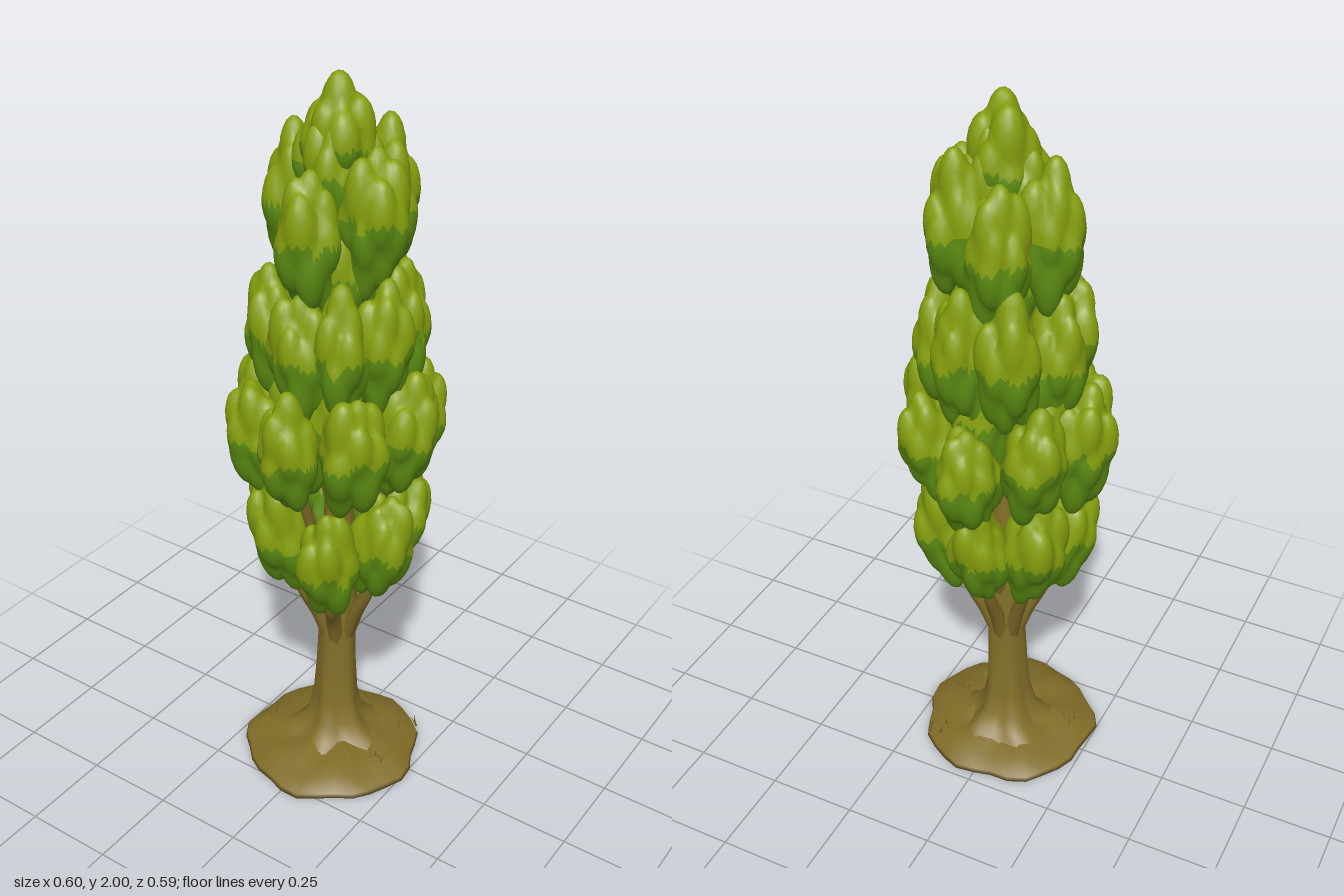
import * as THREE from 'three';
import { mergeVertices } from 'three/addons/utils/BufferGeometryUtils.js';

const material = (name, color) => {
  const m = new THREE.MeshStandardMaterial({ color });
  m.name = name;
  return m;
};

function seeded(seed) {
  let s = seed;
  return () => {
    s = (s * 16807) % 2147483647;
    return s / 2147483647;
  };
}

// Move every vertex of a geometry by a rule, then smooth it
function reshape(geometry, rule) {
  const p = geometry.attributes.position, v = new THREE.Vector3();
  for (let i = 0; i < p.count; i++) {
    v.fromBufferAttribute(p, i);
    rule(v);
    p.setXYZ(i, v.x, v.y, v.z);
  }
  geometry.deleteAttribute('uv');
  geometry.deleteAttribute('normal');
  const merged = mergeVertices(geometry, 1e-5);
  merged.computeVertexNormals();
  return merged;
}

// Upright leaf clump made of round lobes: group 0 is the sunny crown, group 1 the lower leaves
function clumpGeometry(halfWidth, halfHeight, rand) {
  const turn = rand() * 6;
  const lobes = [new THREE.Vector3(0.15, 1, 0.1).normalize()];
  for (let i = 0; i < 15; i++) {
    const y = 0.75 - (i / 14) * 1.6, r = Math.sqrt(1 - y * y), t = turn + i * 2.4 + rand() * 0.5;
    lobes.push(new THREE.Vector3(r * Math.sin(t), y, r * Math.cos(t)));
  }
  const sizes = lobes.map(() => 0.9 + rand() * 0.22);
  const g = reshape(new THREE.IcosahedronGeometry(1, 7), (v) => {
    let lump = 0.72;
    lobes.forEach((lobe, i) => {
      const d = v.distanceToSquared(lobe);
      lump = Math.max(lump, sizes[i] * (1.06 - 0.75 * d));
    });
    const width = (v.y > 0 ? 1 - 0.08 * v.y : 1 + 0.18 * v.y) * lump * halfWidth;
    v.set(v.x * width, v.y * halfHeight * lump, v.z * width);
  });
  const p = g.attributes.position, nrm = g.attributes.normal, light = [], dark = [];
  for (let i = 0; i < g.index.count; i += 3) {
    const tri = [0, 1, 2].map((k) => g.index.getX(i + k));
    const height = tri.reduce((s, k) => s + p.getY(k), 0) / 3 / halfHeight;
    const facing = tri.reduce((s, k) => s + nrm.getY(k), 0) / 3;
    (height + 0.8 * facing > 0.12 ? light : dark).push(...tri);
  }
  g.setIndex([...light, ...dark]);
  g.addGroup(0, light.length, 0);
  g.addGroup(light.length, dark.length, 1);
  return g;
}

// Tube along a curve, shrinking from one radius to another
function taperedTube(points, r0, r1) {
  const curve = new THREE.CatmullRomCurve3(points), rings = 10, sides = 7;
  const g = new THREE.TubeGeometry(curve, rings, 1, sides);
  const p = g.attributes.position, v = new THREE.Vector3();
  for (let i = 0; i < p.count; i++) {
    const t = Math.floor(i / (sides + 1)) / rings, centre = curve.getPointAt(t);
    v.fromBufferAttribute(p, i).sub(centre).multiplyScalar(r0 + (r1 - r0) * t).add(centre);
    p.setXYZ(i, v.x, v.y, v.z);
  }
  return g;
}

export function createModel() {
  const tree = new THREE.Group();
  tree.name = 'tree';
  const rand = seeded(4721);
  const bark = material('bark', 0x84702a);
  const soil = material('soil', 0x806c28);
  const leafLight = material('sunny leaves', 0x86a00e);
  const leafDark = material('deep leaves', 0x5c8c12);

  const add = (name, geometry, mat, parent = tree) => {
    const m = new THREE.Mesh(geometry, mat);
    m.name = name;
    parent.add(m);
    return m;
  };
  const group = (name) => {
    const g = new THREE.Group();
    g.name = name;
    tree.add(g);
    return g;
  };
  const profile = (pts) => pts.map(([r, y]) => new THREE.Vector2(r, y));

  // Ground mound with an uneven rim
  const mound = new THREE.LatheGeometry(profile([
    [0, 0], [0.25, 0], [0.245, 0.012], [0.2, 0.032], [0.15, 0.042], [0.1, 0.052], [0, 0.055],
  ]), 30);
  add('groundMound', reshape(mound, (v) => {
    const t = Math.atan2(v.x, v.z), r = Math.hypot(v.x, v.z);
    const k = 1 + 0.03 * Math.sin(5 * t + 1) + 0.025 * Math.sin(9 * t);
    if (v.y > 0.02) v.y += 0.008 * Math.sin(6 * t + 22 * r);
    v.set(v.x * k, v.y, v.z * k + 0.024);
  }), soil);

  // Trunk with flared root lobes
  const trunk = new THREE.LatheGeometry(profile([
    [0.15, 0.025], [0.105, 0.06], [0.075, 0.1], [0.062, 0.17], [0.056, 0.28], [0.052, 0.4],
    [0.056, 0.48], [0.047, 0.6], [0.036, 0.9], [0.024, 1.3], [0.006, 1.75],
  ]), 20);
  add('trunk', reshape(trunk, (v) => {
    const t = Math.atan2(v.x, v.z), flare = Math.max(0, 1 - v.y / 0.22);
    const k = 1 + (0.05 + 0.16 * flare) * Math.sin(5 * t + 0.6 + 2 * v.y);
    v.set(v.x * k - 0.006 * Math.cos(4 * v.y), v.y, v.z * k);
  }), bark);

  // Rings of leaf clumps; the outer rings are carried by branches
  const branches = group('branches'), foliage = group('foliage');
  const tiers = [
    // angles in degrees from the front, ring radius, height, half height and width, lean
    { angles: [25, 78, 130, 180, 232, 283, 333], r: 0.16, y: 0.75, h: 0.19, w: 0.084, lean: 0.2 },
    { angles: [2, 45, 90, 133, 178, 225, 270, 317], r: 0.208, y: 1.07, h: 0.175, w: 0.085, lean: 0.12 },
    { angles: [30, 105, 170, 245, 310], r: 0.1, y: 1.15, h: 0.19, w: 0.085, lean: 0.05 },
    { angles: [0, 35, 75, 122, 165, 208, 258, 307], r: 0.155, y: 1.335, h: 0.185, w: 0.08, lean: 0.06 },
    { angles: [0, 80, 140, 197, 265], r: 0.118, y: 1.635, h: 0.185, w: 0.082, lean: 0.02 },
    { angles: [45, 165, 285], r: 0.05, y: 1.5, h: 0.2, w: 0.085, lean: 0 },
    { angles: [20, 140, 260], r: 0.04, y: 1.74, h: 0.16, w: 0.07, lean: 0 },
  ];
  for (const { angles, r, y, h, w, lean } of tiers) {
    angles.forEach((degrees, i) => {
      const angle = THREE.MathUtils.degToRad(degrees);
      const dir = new THREE.Vector3(Math.sin(angle), 0, Math.cos(angle));
      const cy = y + (rand() - 0.5) * 0.07, radius = r * (0.95 + rand() * 0.1);
      const size = 0.97 + rand() * 0.1;
      const clump = add('leafClump', clumpGeometry(w * size, h * size, rand), [leafLight, leafDark], foliage);
      clump.position.copy(dir).multiplyScalar(radius).setY(cy);
      clump.rotation.set(lean, angle, 0, 'YXZ');
      if (r < 0.11 || (y > 1 && i % 2)) return;
      const at = (k, height) => dir.clone().multiplyScalar(radius * k).setY(height);
      const low = Math.max(0.36, cy - 0.5);
      const thick = 0.027 - 0.011 * (cy - 0.7);
      add('branch', taperedTube(
        [at(0.1, low), at(0.38, low + 0.12), at(0.75, cy - 0.16), at(0.9, cy + 0.05)],
        thick, 0.007), bark, branches);
    });
  }

  // Blunt crown
  const crown = add('crownClump', clumpGeometry(0.092, 0.17, rand), [leafLight, leafDark], foliage);
  crown.geometry.computeBoundingBox();
  crown.position.y = 2 - crown.geometry.boundingBox.max.y;

  // Dry grass tufts and one green sprout on the mound
  const tufts = group('grassTufts');
  const spots = [[0.16, -0.13, soil], [-0.17, 0.06, soil], [0.17, 0.06, soil], [0.11, 0.11, leafLight]];
  for (const [x, z, colour] of spots) {
    for (let i = 0; i < 4; i++) {
      const blade = add('grassBlade', new THREE.ConeGeometry(0.004, 0.04, 4), colour, tufts);
      blade.position.set(x + (rand() - 0.5) * 0.04, 0.045, z + (rand() - 0.5) * 0.04);
      blade.rotation.set((rand() - 0.5) * 0.9, 0, (rand() - 0.5) * 0.9);
    }
  }
  return tree;
}
